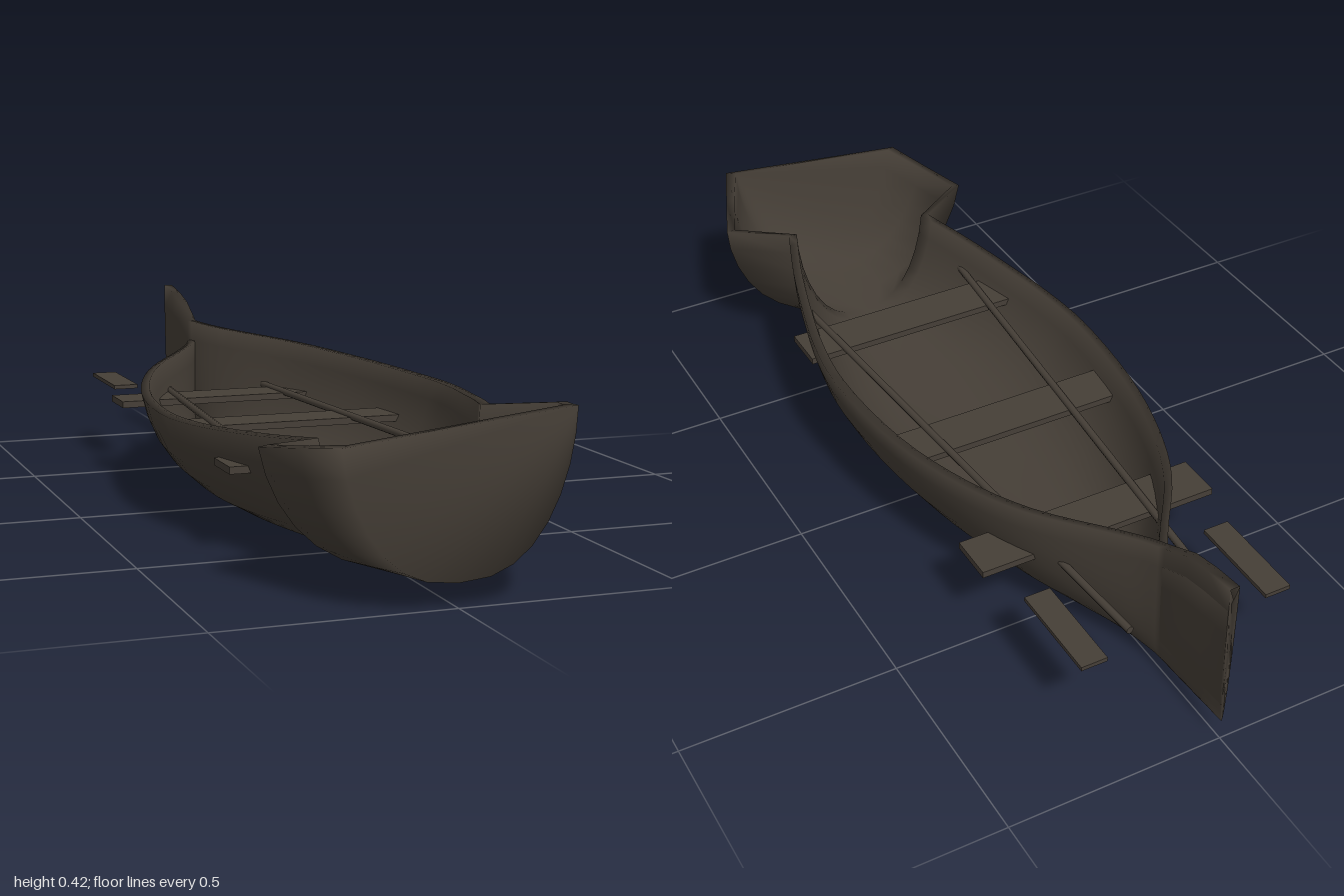
import * as THREE from 'three';

const wood = new THREE.MeshStandardMaterial({ color: 0x463f37, side: THREE.DoubleSide });
wood.name = 'dark wood';

const SIDES = 16;      // points round one cross-section
const WALL = 0.022;    // hull thickness

// Half-width of the body along z, from the pinched stern to the waist
const body = new THREE.CatmullRomCurve3([
  [0.01, -0.77], [0.035, -0.72], [0.075, -0.66], [0.19, -0.5], [0.262, -0.34], [0.317, -0.13],
  [0.338, 0.13], [0.322, 0.28], [0.292, 0.41], [0.25, 0.56], [0.2, 0.7],
].map(([w, z]) => new THREE.Vector3(w, 0, z)));

// Stations as [z, half-width]: rudder-like stern fin, body, flared front box
const stations = [
  [-1, 0.01], [-0.92, 0.01], [-0.85, 0.01],
  ...body.getPoints(40).map((p) => [p.z, p.x]),
  [0.78, 0.335], [0.89, 0.29], [1, 0.245],
];

const keelY = (z) => 0.05 * z * z;
const sheerY = (z) => 0.297 + 0.083 * z * z + 0.04 * THREE.MathUtils.clamp((-0.77 - z) / 0.1, 0, 1);

// Cross-section from the high +x rim, under the keel, to the lower -x rim
function section(z, w, inner) {
  const top = sheerY(z);
  const keel = keelY(z) + (inner ? WALL : 0);
  const half = inner ? w - WALL : w;
  const zz = inner ? Math.min(z, 0.985) : z;
  const points = [];
  for (let i = 0; i < SIDES; i++) {
    const a = Math.PI / 2 - (i / SIDES) * Math.PI;
    const s = Math.sin(a);
    const x = Math.sign(s) * Math.pow(Math.abs(s), 0.8) * half;
    const y = keel + (top - keel) * (1 - Math.pow(Math.max(0, Math.cos(a)), 1.1));
    points.push(x, y, zz);
  }
  return points;
}

function hullGeometry() {
  const n = stations.length;
  const last = SIDES - 1;
  const position = [];
  for (const inner of [false, true]) {
    for (const [z, w] of stations) position.push(...section(z, w, inner));
  }
  const out = (k, i) => k * SIDES + i;
  const inn = (k, i) => (n + k) * SIDES + i;
  const index = [];
  const quad = (a, b, c, d) => index.push(a, b, c, b, d, c);

  for (let k = 0; k < n - 1; k++) {
    for (let i = 0; i < last; i++) {
      quad(out(k, i), out(k + 1, i), out(k, i + 1), out(k + 1, i + 1));
      quad(inn(k, i), inn(k, i + 1), inn(k + 1, i), inn(k + 1, i + 1));
    }
    // Flat rims
    quad(out(k, 0), inn(k, 0), out(k + 1, 0), inn(k + 1, 0));
    quad(out(k, last), out(k + 1, last), inn(k, last), inn(k + 1, last));
  }
  // End walls
  const f = n - 1;
  for (let i = 1; i < last; i++) {
    index.push(out(f, 0), out(f, i + 1), out(f, i));
    index.push(inn(f, 0), inn(f, i), inn(f, i + 1));
    index.push(out(0, 0), out(0, i), out(0, i + 1));
    index.push(inn(0, 0), inn(0, i), inn(0, i + 1));
  }
  // Top edge of the front wall
  quad(out(f, 0), inn(f, 0), out(f, last), inn(f, last));

  const geometry = new THREE.BufferGeometry();
  geometry.setAttribute('position', new THREE.Float32BufferAttribute(position, 3));
  geometry.setIndex(index);
  geometry.computeVertexNormals();
  return geometry;
}

function add(parent, name, geometry, x = 0, y = 0, z = 0) {
  const mesh = new THREE.Mesh(geometry, wood);
  mesh.name = name;
  mesh.position.set(x, y, z);
  parent.add(mesh);
  return mesh;
}

export function createModel() {
  const boat = new THREE.Group();
  boat.name = 'rowingBoat';
  add(boat, 'hull', hullGeometry());

  // Benches across the hull
  const benches = [['rearBench', -0.455], ['middleBench', -0.052], ['frontBench', 0.425]];
  for (const [name, z] of benches) {
    add(boat, name, new THREE.BoxGeometry(0.585, 0.016, 0.11), 0, 0.188, z);
  }

  // Oars: slanted shafts with separate flat blades beside the stern
  for (const side of [1, -1]) {
    const oar = new THREE.Group();
    oar.name = side > 0 ? 'leftOar' : 'rightOar';
    const a = new THREE.Vector3(side * 0.11, 0.197, -0.81);
    const b = new THREE.Vector3(side * 0.218, 0.197, 0.6);
    const dir = b.clone().sub(a);
    const shaft = add(oar, 'oarShaft', new THREE.CylinderGeometry(0.009, 0.009, dir.length(), 8));
    shaft.position.copy(a).add(b).multiplyScalar(0.5);
    shaft.quaternion.setFromUnitVectors(new THREE.Vector3(0, 1, 0), dir.normalize());
    add(oar, 'oarBlade', new THREE.BoxGeometry(0.062, 0.01, 0.235), side * 0.225, 0.197, -0.742);
    boat.add(oar);
  }
  return boat;
}
